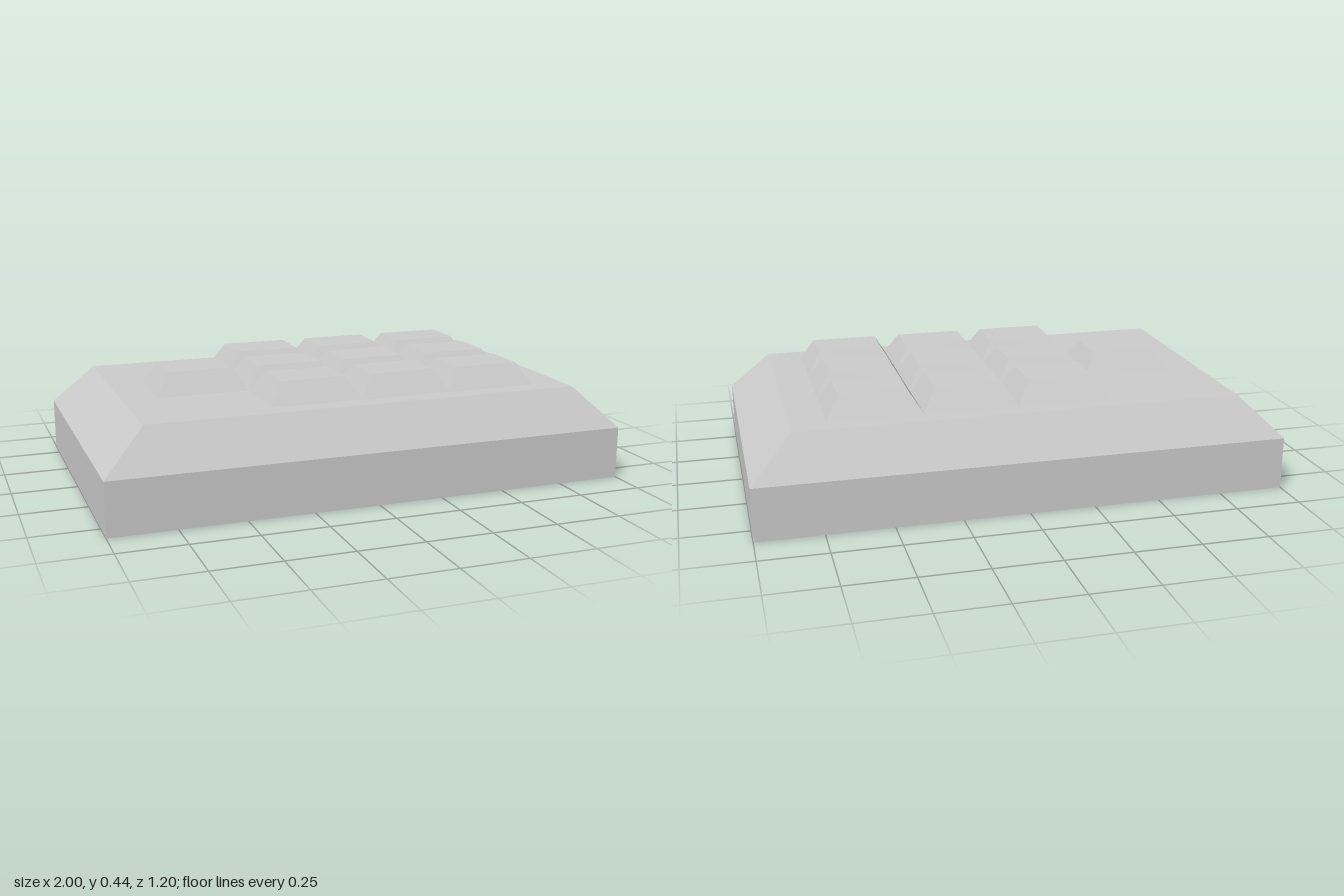
import * as THREE from 'three';

const material = new THREE.MeshStandardMaterial({ color: 0xcccccc, flatShading: true, side: THREE.DoubleSide });

// Thin shell lofted through rectangles [halfX, halfZ, y], bottom to top, open below
function rectShell(sections, capTop) {
  const pos = [];
  const corners = ([hx, hz, y]) => [[-hx, y, hz], [hx, y, hz], [hx, y, -hz], [-hx, y, -hz]];
  const quad = (a, b, c, d) => pos.push(...a, ...b, ...c, ...a, ...c, ...d);
  for (let s = 0; s < sections.length - 1; s++) {
    const lo = corners(sections[s]), hi = corners(sections[s + 1]);
    for (let i = 0; i < 4; i++) {
      const j = (i + 1) % 4;
      quad(lo[i], lo[j], hi[j], hi[i]);
    }
  }
  if (capTop) quad(...corners(sections[sections.length - 1]));
  const geo = new THREE.BufferGeometry();
  geo.setAttribute('position', new THREE.Float32BufferAttribute(pos, 3));
  geo.computeVertexNormals();
  return geo;
}

export function createModel() {
  const model = new THREE.Group();
  model.name = 'studdedBlock';
  const add = (geo, name) => {
    const mesh = new THREE.Mesh(geo, material);
    mesh.name = name;
    model.add(mesh);
    return mesh;
  };

  const plateX = 0.842, plateZ = 0.505, plateY = 0.357, topY = 0.44;
  const pitchX = 0.356, pitchZ = 0.285;

  // Upright walls and sloping shoulders, open underneath
  add(rectShell([[1, 0.6, 0], [1, 0.6, 0.2], [plateX, plateZ, plateY]], false), 'body');

  // Top plate, cut away beneath the hollow studs
  const plate = new THREE.Shape([
    [-plateX, -plateZ], [plateX, -plateZ], [plateX, plateZ], [-plateX, plateZ],
  ].map(([x, y]) => new THREE.Vector2(x, y)));
  plate.holes.push(new THREE.Path([
    [-1, -1.5], [-1, -0.5], [-2, -0.5], [-2, 0.5], [-1, 0.5], [-1, 1.5], [2, 1.5], [2, -1.5],
  ].map(([i, j]) => new THREE.Vector2(i * pitchX, j * pitchZ))));
  const plateGeo = new THREE.ShapeGeometry(plate);
  plateGeo.rotateX(-Math.PI / 2);
  plateGeo.translate(0, plateY, 0);
  add(plateGeo, 'topPlate');

  // Three by three studs plus a single one at the right end of the middle row
  const studGeo = rectShell([
    [pitchX / 2, pitchZ / 2, plateY],
    [pitchX / 2 - 0.051, pitchZ / 2 - 0.053, topY],
  ], true);
  for (let col = -2; col < 2; col++) {
    for (let row = -1; row <= 1; row++) {
      if (col === -2 && row !== 0) continue;
      add(studGeo, 'stud').position.set((col + 0.5) * pitchX, 0, row * pitchZ);
    }
  }
  return model;
}
